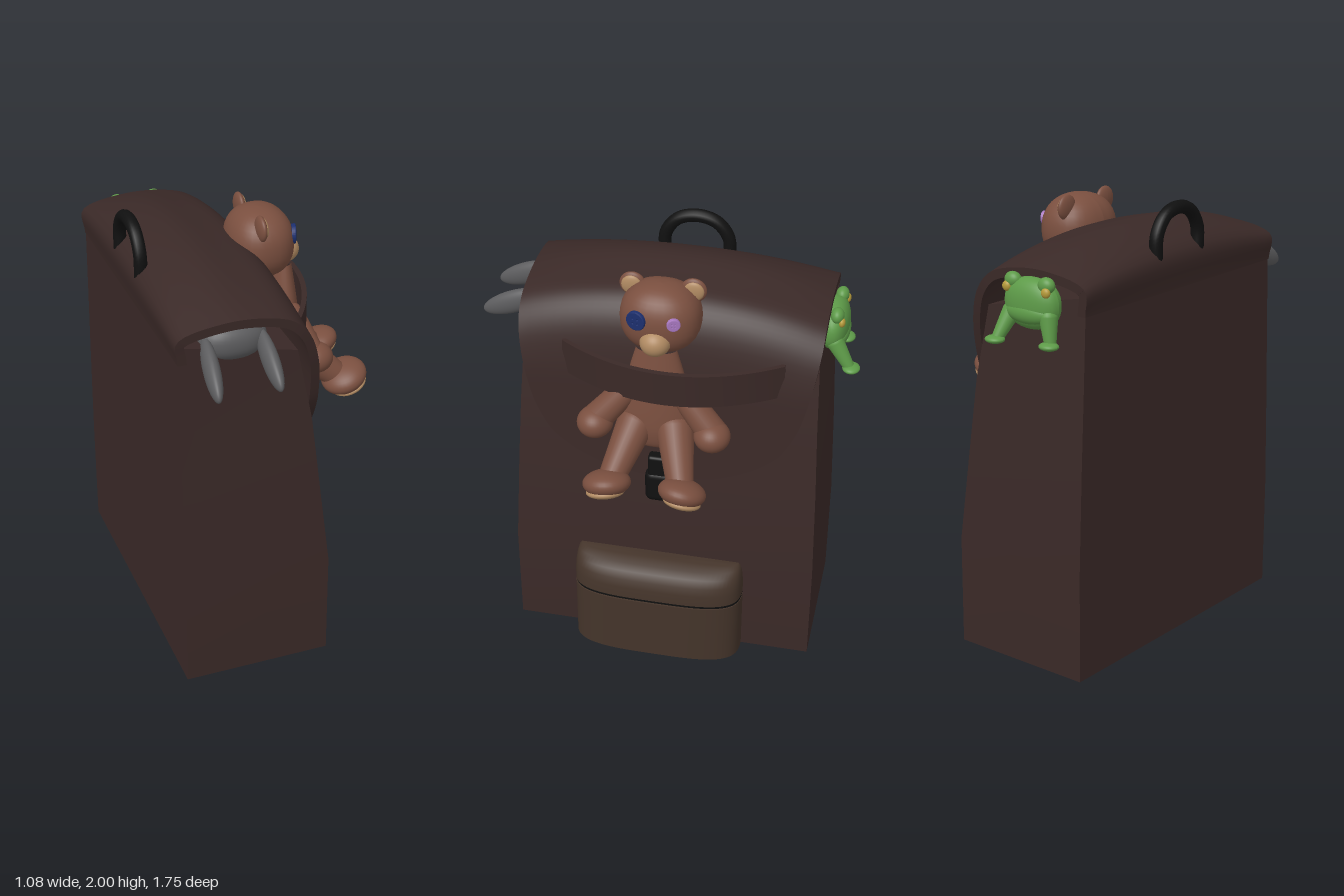
import * as THREE from 'three';
import { toCreasedNormals } from 'three/addons/utils/BufferGeometryUtils.js';
import { RoundedBoxGeometry } from 'three/addons/geometries/RoundedBoxGeometry.js';

const V = (x, y, z) => new THREE.Vector3(x, y, z);
const mat = (color) => new THREE.MeshStandardMaterial({ color });
const LEATHER = mat(0x3a2927), POCKET = mat(0x44342a), BLACK = mat(0x101010), FUR = mat(0x7a4f3f),
  TAN = mat(0xb08a62), BLUE = mat(0x1c2f6e), PURPLE = mat(0xa878c0), GREEN = mat(0x5d9a48),
  GREY = mat(0x5c5c5e), YELLOW = mat(0xb59a3a);
const MID = -0.04;    // middle of the bag across z
const BEAR_Z = -0.015;

function add(parent, name, geometry, material, pos = V(0, 0, 0)) {
  const mesh = new THREE.Mesh(geometry, material);
  mesh.name = name;
  mesh.position.copy(pos);
  parent.add(mesh);
  return mesh;
}

// Closed skin over rings of equal length, capped at both ends
function loft(rings, crease = 0.6) {
  const n = rings[0].length, pts = rings.flat(), idx = [];
  for (let r = 0; r < rings.length - 1; r++) {
    for (let i = 0; i < n; i++) {
      const a = r * n + i, b = r * n + (i + 1) % n;
      idx.push(a, b, b + n, a, b + n, a + n);
    }
  }
  for (const r of [0, rings.length - 1]) {
    const c = pts.length;
    pts.push(rings[r].reduce((s, p) => s.add(p), V(0, 0, 0)).divideScalar(n));
    for (let i = 0; i < n; i++) {
      const a = r * n + i, b = r * n + (i + 1) % n;
      idx.push(...(r ? [c, a, b] : [c, b, a]));
    }
  }
  const g = new THREE.BufferGeometry().setFromPoints(pts);
  g.setIndex(idx);
  return toCreasedNormals(g, crease);
}

// Ellipsoid; power below 1 makes it boxier
function blob(parent, name, material, pos, size, power = 1) {
  const g = new THREE.SphereGeometry(1, 32, 20), p = g.attributes.position;
  const f = (v) => Math.sign(v) * Math.abs(v) ** power;
  for (let i = 0; i < p.count; i++) p.setXYZ(i, f(p.getX(i)), f(p.getY(i)), f(p.getZ(i)));
  g.scale(...size);
  g.computeVertexNormals();
  return add(parent, name, g, material, pos);
}

// Tapered limb with round ends from p to q
function limb(parent, name, material, p, q, r0, r1) {
  const len = p.distanceTo(q), prof = [];
  for (let i = 0; i <= 16; i++) {
    const a = -Math.PI / 2 + Math.PI * i / 16, r = i <= 8 ? r0 : r1;
    prof.push(new THREE.Vector2(Math.max(0, Math.cos(a) * r), Math.sin(a) * r + (i <= 8 ? 0 : len)));
  }
  const mesh = add(parent, name, new THREE.LatheGeometry(prof, 24), material, p);
  mesh.quaternion.setFromUnitVectors(V(0, 1, 0), q.clone().sub(p).normalize());
  return mesh;
}

function bag(g) {
  // Sack: [front x, half width, front y, back y]
  const rings = [[0.15, 0.715, 0, 0], [0.15, 0.715, 0.5, 0.5], [0.1, 0.7, 0.93, 0.95],
    [0.065, 0.685, 1.25, 1.3], [0, 0.67, 1.59, 1.7]].map(([x, w, yf, yb]) =>
    [V(x, yf, MID + w), V(x, yf, MID - w), V(-0.53, yb, MID - w), V(-0.53, yb, MID + w)]);
  add(g, 'bagBody', loft(rings, 0.4), LEATHER);

  // Flap: [x, edge y, middle y, half width], back to front and down
  const st = [[-0.532, 1.62, 1.62, 0.677], [-0.53, 1.74, 1.79, 0.685], [-0.32, 1.785, 1.89, 0.685],
    [-0.15, 1.775, 1.865, 0.685], [-0.03, 1.74, 1.83, 0.685], [0.05, 1.66, 1.74, 0.68], [0.105, 1.5, 1.53, 0.655],
    [0.125, 1.3, 1.3, 0.605], [0.135, 1.15, 1.15, 0.525], [0.142, 1.06, 1.06, 0.41],
    [0.147, 0.99, 0.99, 0.24], [0.149, 0.96, 0.96, 0.03]];
  const path = new THREE.CatmullRomCurve3(st.map((s) => V(s[0], s[1], s[2])));
  const width = new THREE.CatmullRomCurve3(st.map((s, i) => V(s[3], i * 0.1, 0)));
  const flap = [], N = 55, M = 24, T = 0.04;
  for (let i = 0; i <= N; i++) {
    const p = path.getPoint(i / N), t = path.getTangent(i / N), w = Math.max(0.02, width.getPoint(i / N).x);
    const l = Math.hypot(t.x, t.y), outer = [], inner = [];
    for (let j = 0; j <= M; j++) {
      const v = -1 + 2 * j / M, y = p.y + (p.z - p.y) * (1 - Math.abs(v) ** 2.2);
      outer.push(V(p.x, y, MID + w * v));
      inner.unshift(V(p.x + T * t.y / l, y - T * t.x / l, MID + w * v));
    }
    flap.push([...outer, ...inner]);
  }
  add(g, 'flap', loft(flap, 0.8), LEATHER);

  // Bowed band that holds the bear
  const band = [];
  for (let i = 0; i <= 32; i++) {
    const v = -1 + i / 16, x = 0.095 + 0.172 * (1 - v * v), z = -0.07 - 0.5 * v;
    band.push([V(x - 0.025, 1.46, z), V(x - 0.025, 1.62, z), V(x, 1.62, z), V(x, 1.46, z)]);
  }
  add(g, 'band', loft(band), LEATHER);

  // Front pocket with a dark seam
  const plan = (y, inset) => {
    const ring = [];
    for (let i = 0; i <= 32; i++) {
      const a = Math.PI / 2 - Math.PI * i / 32, s = Math.sin(a), c = Math.max(0, Math.cos(a));
      ring.push(V(0.13 + (0.19 - inset) * c ** 0.55, y,
        -0.025 + (0.405 - inset * 0.2) * Math.sign(s) * Math.abs(s) ** 0.6));
    }
    return ring;
  };
  add(g, 'pocket', loft([plan(0, 0), plan(0.325, 0)]), POCKET);
  add(g, 'pocketSeam', loft([plan(0.32, 0.008), plan(0.35, 0.008)]), BLACK);
  add(g, 'pocketLid', loft([[0.343, 0], [0.4, 0.003], [0.44, 0.014], [0.475, 0.037], [0.497, 0.07], [0.51, 0.12]]
    .map((a) => plan(...a)), 0.8), POCKET);

  // Buckle and carrying handle
  add(g, 'buckleStrap', new RoundedBoxGeometry(0.06, 0.25, 0.15, 3, 0.015), BLACK, V(0.16, 0.975, -0.05));
  add(g, 'buckle', new RoundedBoxGeometry(0.08, 0.17, 0.18, 4, 0.035), BLACK, V(0.157, 0.93, -0.05));
  const loop = new THREE.CatmullRomCurve3([[1.76, -1], [1.87, -0.97], [1.945, -0.6], [1.97, 0],
    [1.945, 0.6], [1.87, 0.97], [1.76, 1]].map(([y, s]) => V(-0.51, y, -0.06 + 0.15 * s)));
  add(g, 'handle', new THREE.TubeGeometry(loop, 40, 0.03, 12), BLACK);
}

function bear(g) {
  const at = (x, y, z) => V(x, y, BEAR_Z + z);
  const outline = new THREE.SplineCurve([[0, 1.18], [0.12, 1.195], [0.165, 1.27], [0.165, 1.36], [0.14, 1.5],
    [0.115, 1.6], [0.09, 1.69]].map((p) => new THREE.Vector2(...p))).getPoints(30);
  outline.forEach((p) => { p.x = Math.max(0, p.x); });
  add(g, 'torso', new THREE.LatheGeometry(outline, 32), FUR, at(0.17, 0, 0)).scale.x = 0.5;
  blob(g, 'head', FUR, at(0.07, 1.8, 0), [0.15, 0.16, 0.18], 0.88);
  blob(g, 'snout', TAN, at(0.195, 1.735, 0), [0.065, 0.062, 0.068]);

  // Four-hole button
  const button = (r) => {
    const s = new THREE.Shape().absarc(0, 0, r, 0, Math.PI * 2);
    for (const [i, j] of [[1, 1], [1, -1], [-1, 1], [-1, -1]]) {
      s.holes.push(new THREE.Path().absarc(i * r * 0.28, j * r * 0.28, r * 0.15, 0, Math.PI * 2, true));
    }
    return new THREE.ExtrudeGeometry(s, { depth: 0.012, curveSegments: 20, bevelSize: 0.004, bevelThickness: 0.004, bevelSegments: 2 });
  };
  for (const s of [1, -1]) {
    const side = s > 0 ? 'left' : 'right';
    const eye = add(g, side + 'Eye', button(s > 0 ? 0.041 : 0.026), s > 0 ? BLUE : PURPLE, at(0.198, 1.84, s * 0.08));
    eye.rotation.y = Math.PI / 2 - s * 0.3;
    blob(g, side + 'Ear', FUR, at(0.03, 1.915, s * 0.135), [0.022, 0.058, 0.058]);
    blob(g, side + 'InnerEar', TAN, at(0.042, 1.915, s * 0.137), [0.016, 0.046, 0.046]);
    limb(g, side + 'Arm', FUR, at(0.18, 1.46, s * 0.13), at(0.22, 1.32, s * 0.255), 0.06, 0.07);
    blob(g, side + 'Paw', FUR, at(0.24, 1.305, s * 0.265), [0.085, 0.07, 0.082]);
    limb(g, side + 'Leg', FUR, at(0.2, 1.29, s * 0.09), at(0.38, 1.14, s * 0.15), 0.085, 0.062);
    blob(g, side + 'Foot', FUR, at(0.43, 1.12, s * 0.17), [0.108, 0.06, 0.108]).rotation.set(s * 0.15, 0, 0.4);
    blob(g, side + 'Sole', TAN, at(0.45, 1.083, s * 0.173), [0.088, 0.028, 0.086]).rotation.set(s * 0.15, 0, 0.4);
  }
}

// Grey toy peeking out with two hanging ears
function greyToy(g) {
  blob(g, 'greyHead', GREY, V(-0.27, 1.67, 0.56), [0.15, 0.09, 0.1], 0.9);
  for (const [x, tip] of [[-0.4, -0.12], [-0.145, -0.04]]) {
    const ear = blob(g, 'hangingEar', GREY, V(x - 0.015, 1.625, 0.72), [0.035, 0.055, 0.165]);
    ear.rotation.set(0.42, tip, 0);
  }
}

// Green frog hanging out of the far end
function frog(g) {
  blob(g, 'frogBody', GREEN, V(-0.27, 1.645, -0.735), [0.14, 0.11, 0.07], 0.9);
  blob(g, 'frogMouth', GREEN, V(-0.27, 1.61, -0.765), [0.12, 0.05, 0.045]);
  for (const s of [1, -1]) {
    blob(g, 'frogBrow', GREEN, V(-0.27 + s * 0.09, 1.735, -0.755), [0.04, 0.035, 0.03]);
    blob(g, 'frogEye', YELLOW, V(-0.27 + s * 0.105, 1.71, -0.778), [0.022, 0.022, 0.015]);
    limb(g, 'frogLeg', GREEN, V(-0.27 + s * 0.1, 1.6, -0.755), V(-0.27 + s * 0.12, 1.5, -0.795 - s * 0.025), 0.04, 0.026);
    blob(g, 'frogFoot', GREEN, V(-0.27 + s * 0.125, 1.49, -0.81 - s * 0.025), [0.045, 0.018, 0.04]);
  }
}

export function createModel() {
  const model = new THREE.Group();
  model.name = 'backpackWithToys';
  for (const [name, build] of Object.entries({ bag, bear, greyToy, frog })) {
    const part = new THREE.Group();
    part.name = name;
    build(part);
    model.add(part);
  }
  return model;
}
